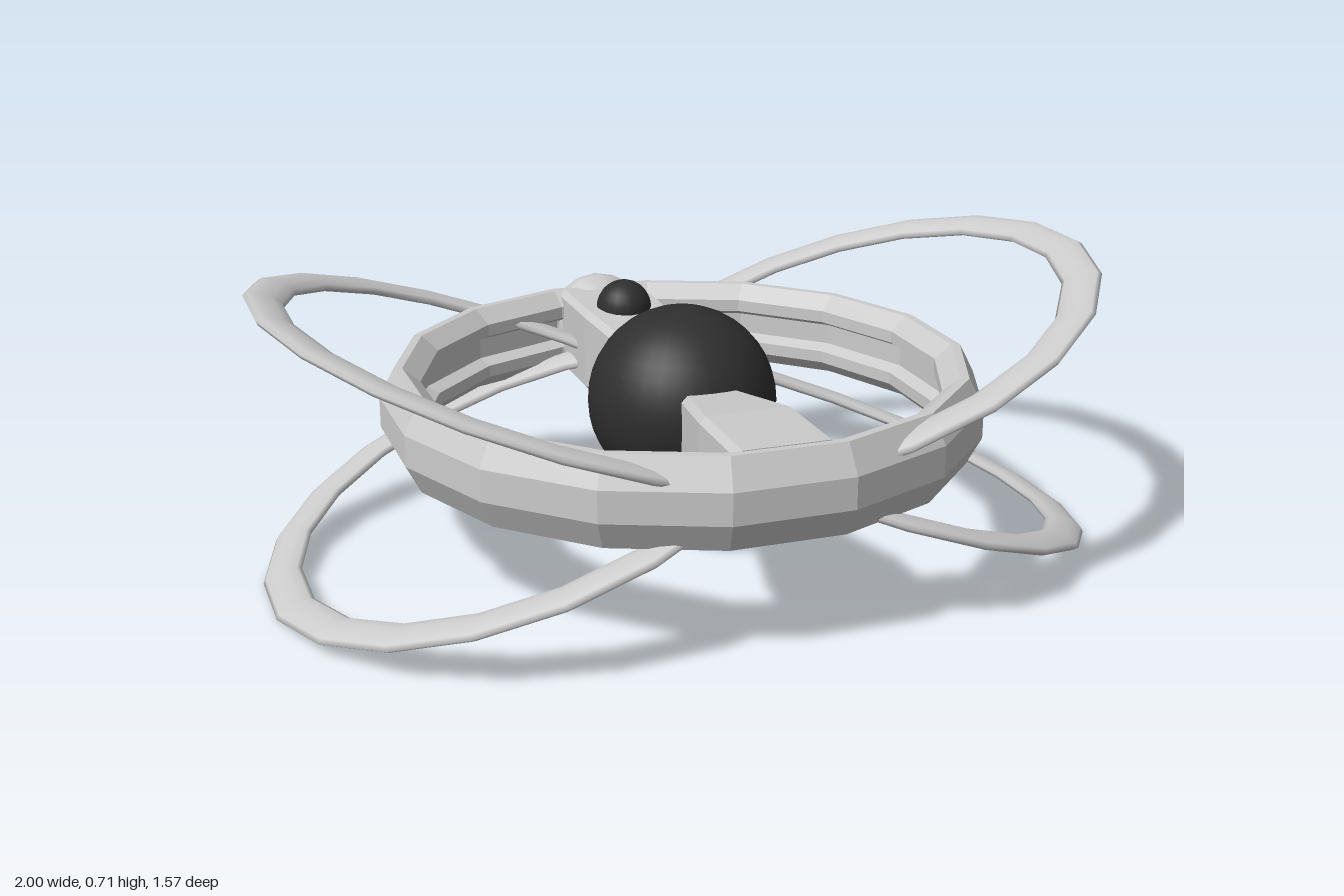
import * as THREE from 'three';

const MID_Y = 0.385, MID_Z = 0.085;
const grey = new THREE.MeshStandardMaterial({ color: 0xcccccc });
const greyFlat = new THREE.MeshStandardMaterial({ color: 0xcccccc, flatShading: true });
const dark = new THREE.MeshStandardMaterial({ color: 0x2e2e2e });
const black = new THREE.MeshStandardMaterial({ color: 0x0a0a0a });

// Tapered chamfered beam along z, lofted through sections [z, halfWidth, halfHeight]
function beamGeometry(sections) {
  const pos = [], idx = [], n = 8, c = 0.015;
  for (const [z, w, h] of sections) {
    const ring = [[w, -h + c], [w, h - c], [w - c, h], [-w + c, h],
      [-w, h - c], [-w, -h + c], [-w + c, -h], [w - c, -h]];
    for (const [x, y] of ring) pos.push(x, y, z);
  }
  const last = (sections.length - 1) * n;
  for (let s = 0; s < last; s += n) {
    for (let i = 0; i < n; i++) {
      const a = s + i, b = s + (i + 1) % n;
      idx.push(a, b, b + n, a, b + n, a + n);
    }
  }
  for (let i = 1; i < n - 1; i++) {
    idx.push(0, i + 1, i);
    idx.push(last, last + i, last + i + 1);
  }
  const g = new THREE.BufferGeometry();
  g.setAttribute('position', new THREE.Float32BufferAttribute(pos, 3));
  g.setIndex(idx);
  return g;
}

export function createModel() {
  const model = new THREE.Group();
  model.name = 'ringShip';
  const add = (name, geometry, material, x = 0, y = MID_Y, z = MID_Z, parent = model) => {
    const mesh = new THREE.Mesh(geometry, material);
    mesh.name = name;
    mesh.position.set(x, y, z);
    parent.add(mesh);
    return mesh;
  };

  // Sixteen-sided main ring with a bevelled outside and a grooved inside
  const k = 1 / Math.cos(Math.PI / 16);
  const ringProfile = [
    [0.665, -0.105], [0.7, -0.037], [0.7, 0.037], [0.665, 0.105], [0.645, 0.105],
    [0.605, 0.07], [0.605, 0.04], [0.635, 0.025], [0.635, -0.025],
    [0.605, -0.04], [0.605, -0.07], [0.645, -0.105], [0.665, -0.105],
  ].map(([r, y]) => new THREE.Vector2(r * k, y));
  add('mainRing', new THREE.LatheGeometry(ringProfile, 16, Math.PI / 16), greyFlat);

  // Central core
  add('core', new THREE.SphereGeometry(0.225, 32, 20), dark);

  // Front and rear arms from the core to the ring
  const arm = beamGeometry([[0.15, 0.065, 0.07], [0.425, 0.113, 0.107], [0.648, 0.115, 0.107]]);
  add('frontArm', arm, greyFlat);
  add('rearArm', arm, greyFlat).rotation.y = Math.PI;

  // Four flattened side hoops, two tilted up and two tilted down
  const tilt = THREE.MathUtils.degToRad(20);
  const hoop = new THREE.TorusGeometry(0.615, 0.048, 10, 15, Math.PI * 1.5);
  hoop.rotateZ(-Math.PI * 0.75);
  hoop.scale(1, 1, 0.32);
  hoop.rotateX(Math.PI / 2);
  for (const side of ['left', 'right']) {
    const pair = new THREE.Group();
    pair.name = side + 'Hoops';
    pair.position.set(0, 0.356, MID_Z);
    if (side === 'right') pair.rotation.y = Math.PI;
    for (const v of [1, -1]) {
      const name = side + (v > 0 ? 'Upper' : 'Lower') + 'Hoop';
      add(name, hoop, grey, 0.385, v * 0.126, 0, pair).rotation.z = v * tilt;
    }
    model.add(pair);
  }

  // Rear pod: rounded body ending in a pointed tail
  const podProfile = [
    [0, 0.49], [0.075, 0.5], [0.117, 0.53], [0.133, 0.575], [0.128, 0.615],
    [0.108, 0.655], [0.075, 0.685], [0.05, 0.7],
  ].map(([r, z]) => new THREE.Vector2(r, z));
  const pod = new THREE.LatheGeometry(podProfile, 16);
  pod.rotateX(-Math.PI / 2);
  add('rearPod', pod, grey, 0, MID_Y, 0);
  const tail = new THREE.ConeGeometry(0.058, 0.095, 16);
  tail.rotateX(-Math.PI / 2);
  add('tailCone', tail, grey, 0, MID_Y, -0.735);

  // Small dome on top of the rear arm
  add('dome', new THREE.SphereGeometry(0.07, 20, 14), dark, 0, 0.49, -0.36);

  // Three vent bars under the rear arm
  for (let i = 0; i < 3; i++) {
    add('ventBar', new THREE.BoxGeometry(0.12, 0.035, 0.024), black, 0, 0.283, -0.365 - i * 0.036);
  }

  return model;
}
